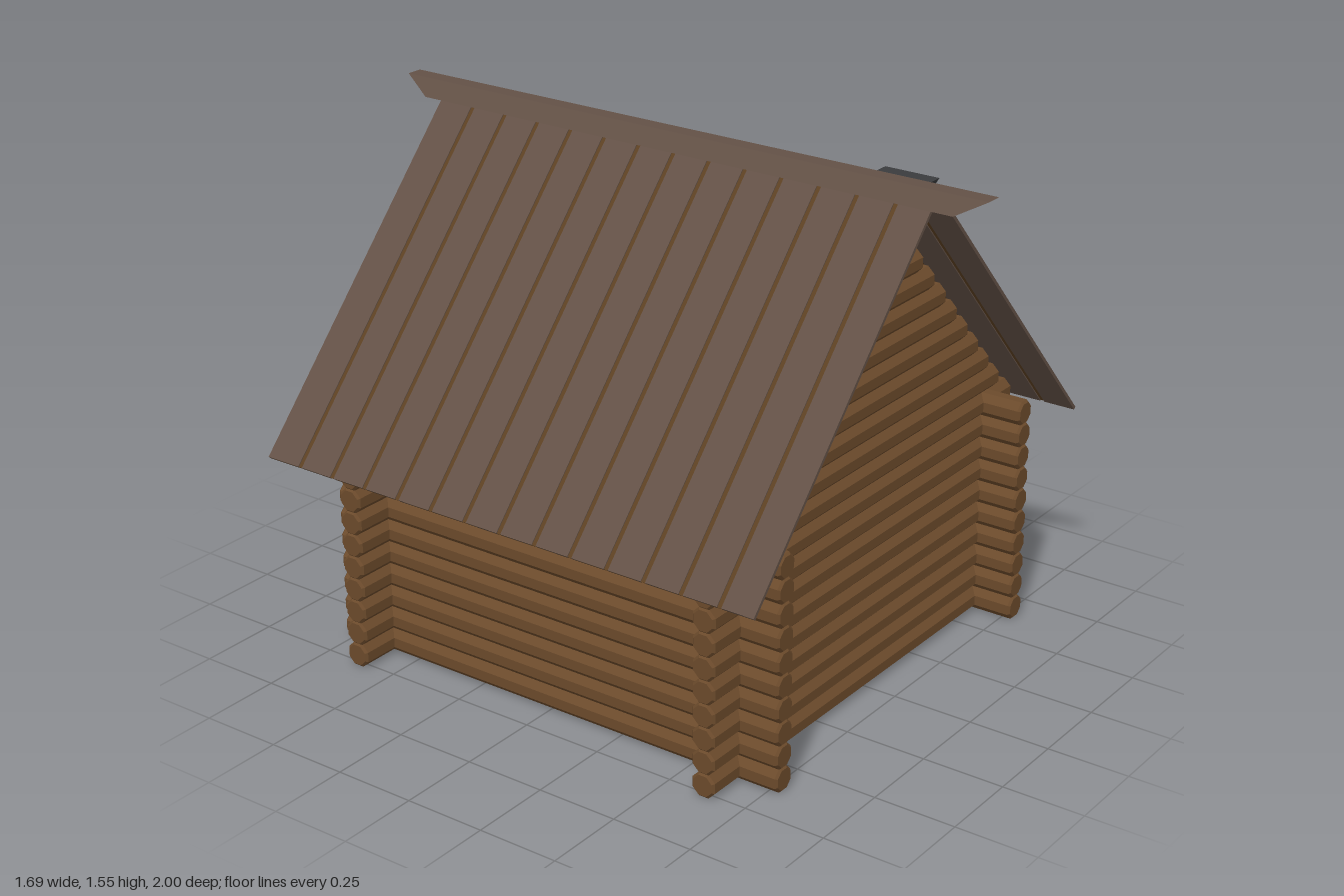
import * as THREE from 'three';

const mat = (color) => new THREE.MeshStandardMaterial({ color, flatShading: true });
const MAT = {
  log: mat(0x6b4a2b), roof: mat(0x635146), gap: mat(0x5c4022), trim: mat(0x5e3119),
  door: mat(0x4c4a49), glass: mat(0x3a8298), stone: mat(0x707070), cap: mat(0x3a3b3d),
  knob: mat(0x4a2a16), darkTrim: mat(0x35261c),
};

const PITCH = 0.071, RADIUS = 0.04, OFF = 0.005, WALL = 0.622;
const rowY = (i) => 0.037 + PITCH * i;

function add(parent, name, geometry, material, x = 0, y = 0, z = 0) {
  const mesh = new THREE.Mesh(geometry, material);
  mesh.name = name;
  mesh.position.set(x, y, z);
  parent.add(mesh);
  return mesh;
}

// Octagonal log with slightly bevelled ends, lying along x or z
function addLog(parent, name, half, axis, x, y, z) {
  const profile = [[0, -half], [RADIUS - 0.007, -half], [RADIUS, -half + 0.007],
    [RADIUS, half - 0.007], [RADIUS - 0.007, half], [0, half]].map(([r, h]) => new THREE.Vector2(r, h));
  const log = add(parent, name, new THREE.LatheGeometry(profile, 8, Math.PI / 8), MAT.log, x, y, z);
  if (axis === 'x') log.rotation.z = Math.PI / 2;
  else log.rotation.x = Math.PI / 2;
}

// Box whose bottom face has its own width and depth
function frustum(topW, topD, botW, botD, h) {
  const g = new THREE.BoxGeometry(topW, h, topD);
  const p = g.attributes.position;
  for (let i = 0; i < p.count; i++) {
    if (p.getY(i) < 0) {
      p.setX(i, p.getX(i) * botW / topW);
      p.setZ(i, p.getZ(i) * botD / topD);
    }
  }
  g.computeVertexNormals();
  return g;
}

// Frame with a filled panel, facing +z, centred at its own origin
function framedPanel(name, w, h, border, trim, fill) {
  const group = new THREE.Group();
  group.name = name;
  const rect = (s, a, b) => s.moveTo(-a, -b).lineTo(a, -b).lineTo(a, b).lineTo(-a, b).closePath();
  const shape = rect(new THREE.Shape(), w / 2, h / 2);
  shape.holes.push(rect(new THREE.Path(), w / 2 - border, h / 2 - border));
  add(group, name + 'Frame', new THREE.ExtrudeGeometry(shape, { depth: 0.1, bevelEnabled: false }), trim, 0, 0, -0.08);
  add(group, name + 'Panel', new THREE.BoxGeometry(w - border * 2, h - border * 2, 0.08), fill, 0, 0, -0.035);
  return group;
}

function createModel() {
  const cabin = new THREE.Group();
  cabin.name = 'logCabin';

  // Crossed log walls
  const walls = new THREE.Group();
  walls.name = 'walls';
  cabin.add(walls);
  for (const s of [-1, 1]) {
    for (let i = 0; i < 10; i++) {
      addLog(walls, 'gableWallLog', i === 9 ? 0.755 : 0.78, 'x', OFF * (i < 9), rowY(i), OFF + s * WALL);
      addLog(walls, 'sideWallLog', 0.78, 'z', OFF + s * WALL, rowY(i), OFF);
    }
    addLog(walls, 'wallPlateLog', WALL, 'z', s * WALL, rowY(10), OFF);
    // Stepped gable
    for (let i = 0; i < 10; i++) {
      addLog(walls, 'gableLog', 0.68 - 0.0655 * i, 'x', 0, rowY(10 + i), OFF + s * WALL);
    }
  }

  // Roof slopes: planks with a thin sheet showing in the gaps
  const run = 0.84, drop = 0.91, len = Math.hypot(run, drop);
  const front = 0.835, back = -0.86;
  for (const s of [-1, 1]) {
    const slope = new THREE.Group();
    slope.name = s > 0 ? 'leftRoofSlope' : 'rightRoofSlope';
    slope.position.set(s * run / 2, 1.54 - drop / 2, 0);
    slope.rotation.z = -s * Math.atan2(drop, run);
    add(slope, 'roofSheet', new THREE.BoxGeometry(len, 0.004, front - back - 0.01), MAT.gap, 0, 0, (front + back) / 2);
    for (let i = 0; i < 14; i++) {
      const a = i === 0 ? front : 0.727 - 0.122 * (i - 1) - 0.007;
      const b = i === 13 ? back : 0.727 - 0.122 * i + 0.007;
      add(slope, 'roofPlank', new THREE.BoxGeometry(len, 0.01, a - b), MAT.roof, 0, 0, (a + b) / 2);
    }
    cabin.add(slope);
  }
  add(cabin, 'ridgeCap', frustum(0.05, 2, 0.11, 1.82, 0.05), MAT.roof, 0, 1.53, 0);

  // Chimney
  add(cabin, 'chimney', new THREE.BoxGeometry(0.12, 0.32, 0.13), MAT.stone, 0.36, 1.19, 0.477);
  add(cabin, 'chimneyCap', frustum(0.18, 0.18, 0.122, 0.132, 0.06), MAT.cap, 0.36, 1.377, 0.477);

  // Door and small window on the +x wall
  const door = framedPanel('door', 0.305, 0.575, 0.024, MAT.trim, MAT.door);
  door.position.set(0.672, 0.2925, -0.242);
  door.rotation.y = Math.PI / 2;
  add(door, 'doorKnob', new THREE.SphereGeometry(0.013, 10, 8), MAT.knob, 0.073, 0.018, 0.014);
  const small = framedPanel('smallWindow', 0.09, 0.09, 0.009, MAT.darkTrim, MAT.glass);
  small.position.set(0.668, 0.42, 0.34);
  small.rotation.y = Math.PI / 2;

  // Window on the back gable
  const rear = framedPanel('backWindow', 0.26, 0.26, 0.025, MAT.trim, MAT.glass);
  rear.position.set(0.01, 0.42, -0.668);
  rear.rotation.y = Math.PI;
  cabin.add(door, small, rear);

  return cabin;
}

export { createModel };
